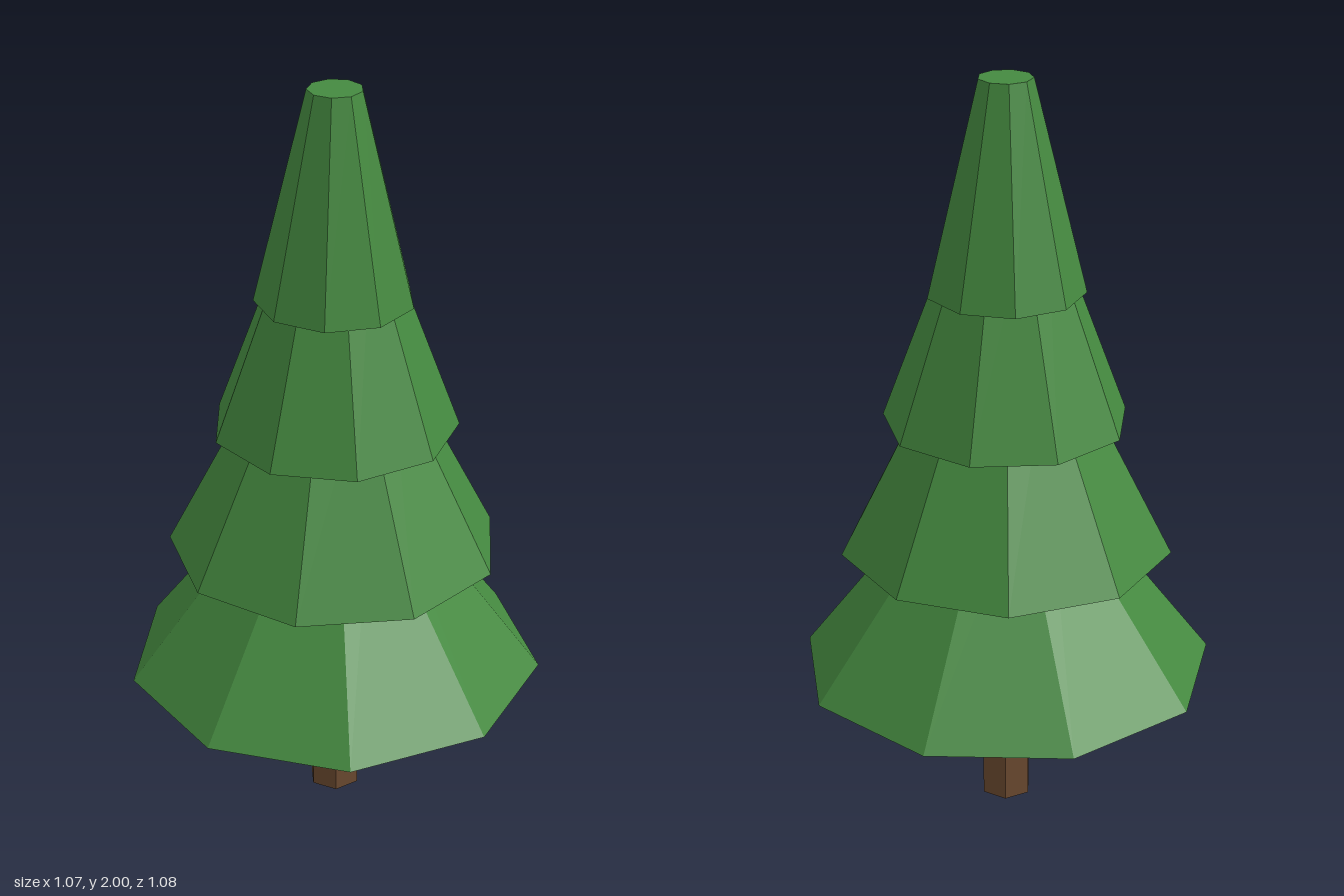
import * as THREE from 'three';

export function createModel() {
  const tree = new THREE.Group();
  tree.name = 'pineTree';

  const needles = new THREE.MeshStandardMaterial({ color: 0x458a40, flatShading: true });
  needles.name = 'needle green';
  const bark = new THREE.MeshStandardMaterial({ color: 0x6b4a30, flatShading: true });
  bark.name = 'bark brown';

  // The nine-sided skirt is asymmetric, so the axis sits slightly off centre
  const axisX = 0.0166;

  // Frustum standing on height y
  function frustum(name, material, bottom, top, y, height, sides, turn) {
    const geometry = new THREE.CylinderGeometry(top, bottom, height, sides);
    geometry.translate(0, height / 2, 0);
    const mesh = new THREE.Mesh(geometry, material);
    mesh.name = name;
    mesh.position.set(axisX, y, 0);
    mesh.rotation.y = turn;
    tree.add(mesh);
  }

  // Hexagonal trunk
  frustum('trunk', bark, 0.07, 0.07, 0, 0.5, 6, Math.PI / 2);

  // Four overlapping tiers, each turned a little from the one below: [bottom, top]
  const tiers = [[0.55, 0.13], [0.436, 0.153], [0.32, 0.115], [0.205, 0.07]];
  tiers.forEach(([bottom, top], i) => {
    frustum(`foliageTier${i + 1}`, needles, bottom, top, 0.4 + 0.35 * i, 0.55, 9, -Math.PI / 18 + 0.4 * i);
  });

  return tree;
}
